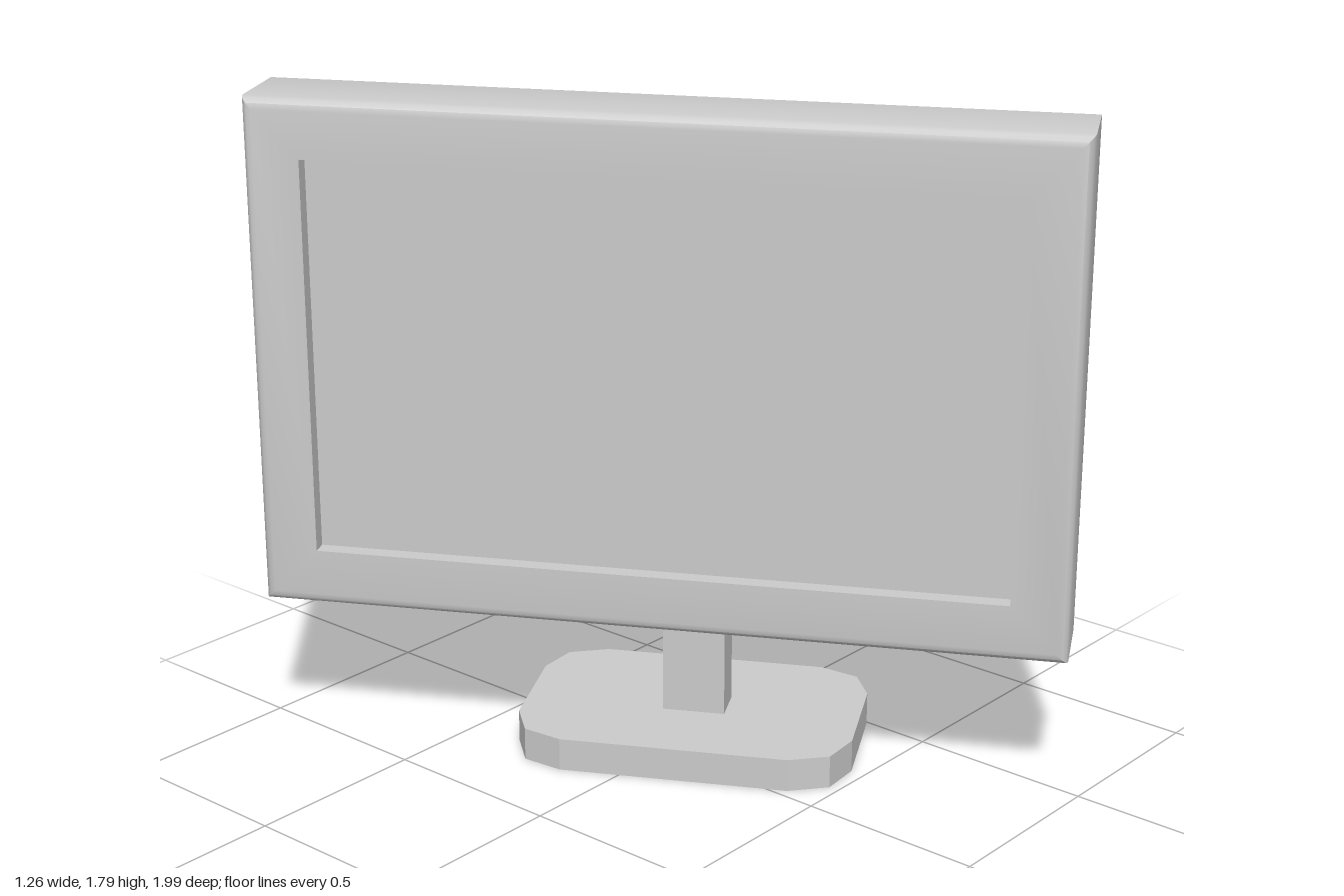
import * as THREE from 'three';
import { toCreasedNormals } from 'three/addons/utils/BufferGeometryUtils.js';

const material = new THREE.MeshStandardMaterial({ color: 0xcccccc });

// Rectangular loft: rings of [halfWidth, halfHeight, z] from back to front, capped at both ends.
function rectLoft(rings) {
  const positions = [];
  const index = [];
  const corners = [[-1, -1], [1, -1], [1, 1], [-1, 1]];
  for (const [w, h, z] of rings) {
    for (const [sx, sy] of corners) positions.push(sx * w, sy * h, z);
  }
  for (let r = 0; r < rings.length - 1; r++) {
    for (let i = 0; i < 4; i++) {
      const a = r * 4 + i;
      const b = r * 4 + (i + 1) % 4;
      index.push(a, b, b + 4, a, b + 4, a + 4);
    }
  }
  const last = (rings.length - 1) * 4;
  index.push(0, 2, 1, 0, 3, 2, last, last + 1, last + 2, last, last + 2, last + 3);
  const geometry = new THREE.BufferGeometry();
  geometry.setAttribute('position', new THREE.Float32BufferAttribute(positions, 3));
  geometry.setIndex(index);
  return toCreasedNormals(geometry, 0.65);
}

// Rings of a slab whose back and front rims are rounded by radius r.
function roundedSlab(w, h, back, front, r, steps = 3) {
  const rings = [];
  for (const side of [-1, 1]) {
    for (let i = 0; i <= steps; i++) {
      const t = (side < 0 ? 1 - i / steps : i / steps) * Math.PI / 2;
      const inset = r * (1 - Math.cos(t));
      const rise = r * Math.sin(t);
      rings.push([w - inset, h - inset, side < 0 ? back + r - rise : front - r + rise]);
    }
  }
  return rings;
}

// Rectangle with two straight cuts on each corner.
function facetedRect(w, h, r) {
  const points = [];
  for (let q = 0; q < 4; q++) {
    const cx = (q === 0 || q === 3 ? 1 : -1) * (w - r);
    const cy = (q < 2 ? 1 : -1) * (h - r);
    for (let k = 0; k < 3; k++) {
      const a = q * Math.PI / 2 + k * Math.PI / 4;
      points.push(new THREE.Vector2(cx + r * Math.cos(a), cy + r * Math.sin(a)));
    }
  }
  return new THREE.Shape(points);
}

export function createModel() {
  const model = new THREE.Group();
  model.name = 'monitor';

  // Everything is built facing +z, then turned on the spot
  const body = new THREE.Group();
  body.name = 'turnedBody';
  body.rotation.y = THREE.MathUtils.degToRad(-61.2);
  model.add(body);

  const add = (name, geometry, x, y, z) => {
    const mesh = new THREE.Mesh(geometry, material);
    mesh.name = name;
    mesh.position.set(x, y, z);
    body.add(mesh);
    return mesh;
  };

  // Bezel with a sunken screen
  const front = 0.137;
  const bezel = roundedSlab(1.075, 0.69, -front, front, 0.03);
  bezel.push([0.923, 0.535, front], [0.923, 0.535, front - 0.045]);
  add('screenPanel', rectLoft(bezel), 0, 1.1, 0);

  // Raised housing on the back
  add('backHousing', rectLoft(roundedSlab(0.975, 0.54, -0.198, -0.1, 0.03)), 0, 1.1, 0);

  // Neck, running up into the housing
  add('neck', new THREE.BoxGeometry(0.17, 0.62, 0.11), 0.063, 0.39, -0.128);

  // Foot plate
  const plate = new THREE.ExtrudeGeometry(facetedRect(0.459, 0.3, 0.15), { depth: 0.09, bevelEnabled: false });
  plate.rotateX(-Math.PI / 2);
  add('footPlate', plate, 0.054, 0, -0.131);

  return model;
}
